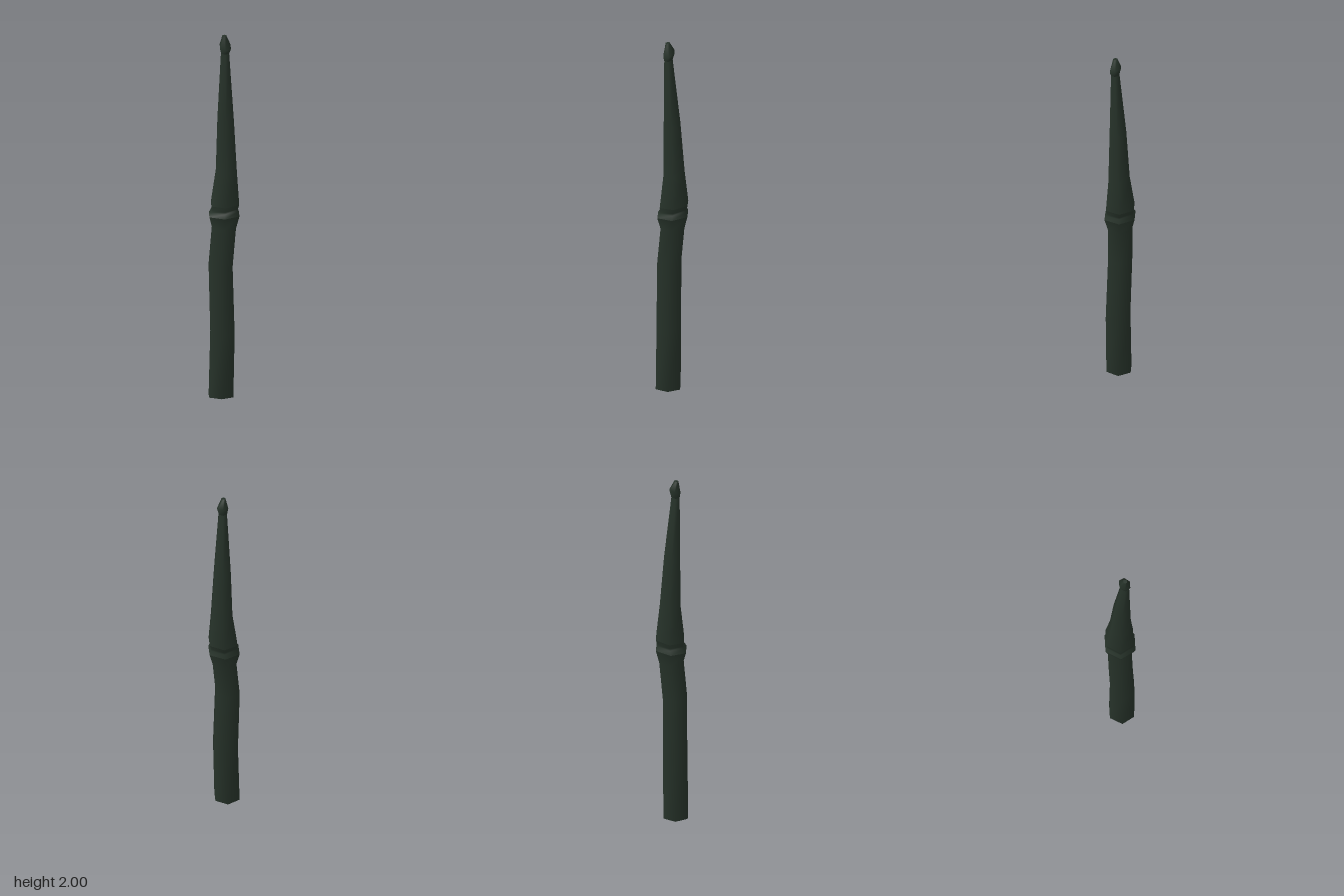
import * as THREE from 'three';

const SIDES = 6;

// A ring is [y, centre x, centre z, radius, rise per x, rise per z]
function ringPoints([y, cx, cz, r, tx = 0, tz = 0]) {
  const points = [];
  for (let i = 0; i < SIDES; i++) {
    const a = (i / SIDES) * Math.PI * 2 + 0.03;
    const dx = Math.sin(a) * r, dz = Math.cos(a) * r;
    points.push(cx + dx, y + tx * dx + tz * dz, cz + dz);
  }
  return points;
}

// Smooth six-sided skin through a list of rings
function loft(rings) {
  const index = [];
  for (let k = 0; k < rings.length - 1; k++) {
    for (let i = 0; i < SIDES; i++) {
      const j = (i + 1) % SIDES;
      const a = k * SIDES + i, b = k * SIDES + j;
      index.push(a, b, b + SIDES, a, b + SIDES, a + SIDES);
    }
  }
  return finish(rings.flatMap(ringPoints), index);
}

// Flat end closing one ring
function cap(ring, up) {
  const index = [];
  for (let i = 1; i < SIDES - 1; i++) index.push(0, ...(up ? [i, i + 1] : [i + 1, i]));
  return finish(ringPoints(ring), index);
}

function finish(positions, index) {
  const g = new THREE.BufferGeometry();
  g.setAttribute('position', new THREE.Float32BufferAttribute(positions, 3));
  g.setIndex(index);
  g.computeVertexNormals();
  return g;
}

export function createModel() {
  const group = new THREE.Group();
  const green = new THREE.MeshStandardMaterial({ color: 0x263229 });
  green.name = 'dark bamboo green';

  const base = [0, -0.018, 0.019, 0.075];
  const lowerLip = [1.0, -0.001, 0, 0.093, 0.02, -0.06];
  const grooveLow = [1.024, 0.001, -0.002, 0.081, 0.04, -0.08];
  const grooveHigh = [1.036, 0.002, -0.003, 0.08, 0.04, -0.08];
  const upperLip = [1.06, 0.004, -0.005, 0.086, 0.05, -0.08];
  const neck = [1.9, 0.004, 0.028, 0.025, 0, -0.1];
  const tip = [1.997, 0, 0.031, 0.012, 0, -0.15];

  const parts = {
    // Bent lower segment flaring into the joint
    lowerStalk: loft([
      base,
      [0.35, -0.01, 0.019, 0.074],
      [0.72, -0.02, 0.012, 0.073],
      [0.93, -0.002, 0, 0.073],
      lowerLip,
    ]),
    // Pinched ring between the segments
    jointGroove: loft([lowerLip, grooveLow, grooveHigh, upperLip]),
    // Tapering upper segment
    upperStalk: loft([
      upperLip,
      [1.24, 0.011, -0.002, 0.064],
      [1.53, 0.007, 0.008, 0.05],
      neck,
    ]),
    // Small swollen bud at the top
    tipBud: loft([neck, [1.935, 0.005, 0.025, 0.034, -0.1, -0.45], tip]),
    tipCap: cap(tip, true),
    baseCap: cap(base, false),
  };

  for (const [name, geometry] of Object.entries(parts)) {
    const mesh = new THREE.Mesh(geometry, green);
    mesh.name = name;
    group.add(mesh);
  }
  return group;
}
